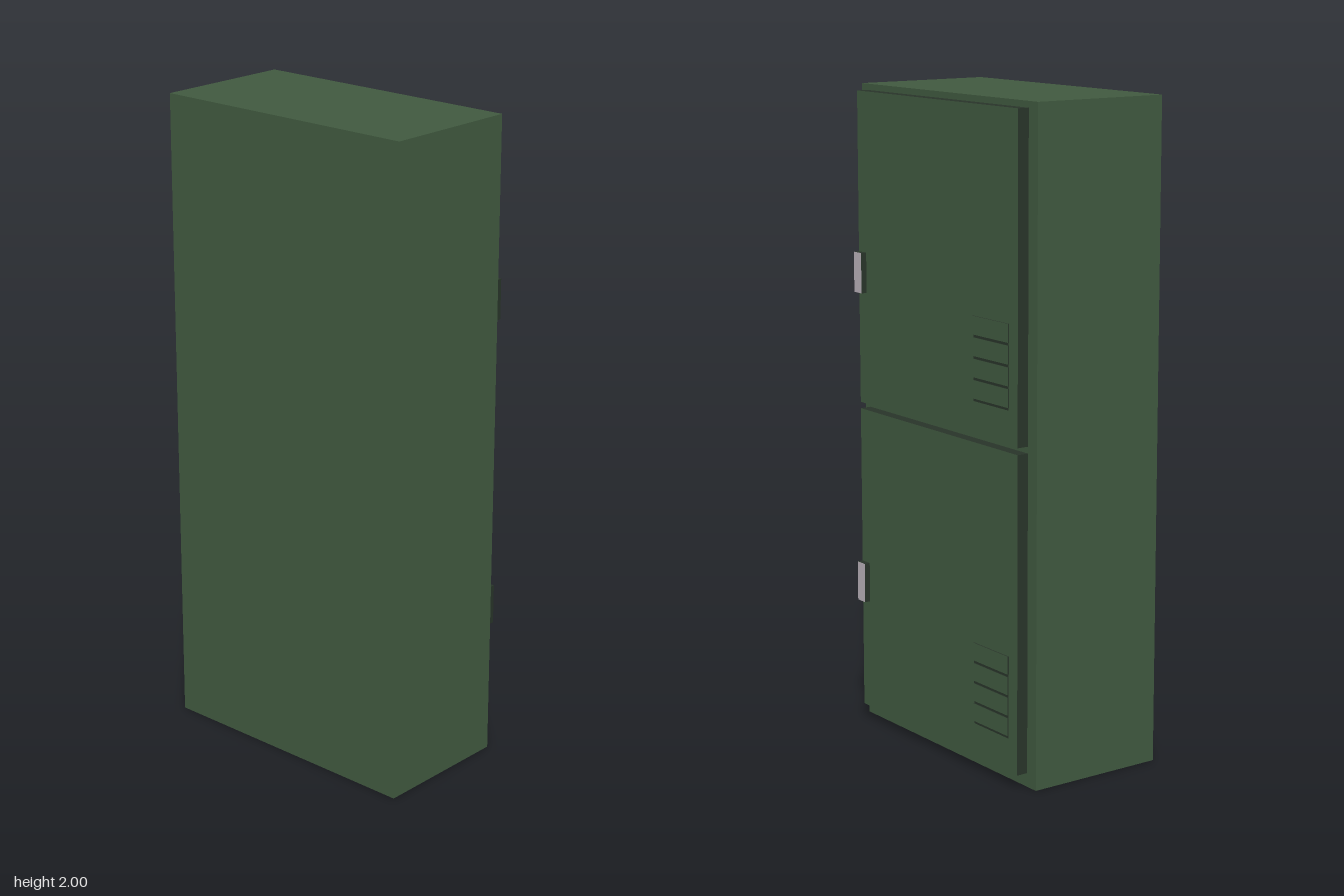
import * as THREE from 'three';

const green = new THREE.MeshStandardMaterial({ color: 0x40593f });
const darkGreen = new THREE.MeshStandardMaterial({ color: 0x283429 });
const grey = new THREE.MeshStandardMaterial({ color: 0xb8b0b8 });

// box given by its min and max corners
function box(name, [x0, y0, z0], [x1, y1, z1], material) {
  const mesh = new THREE.Mesh(new THREE.BoxGeometry(x1 - x0, y1 - y0, z1 - z0), material);
  mesh.position.set((x0 + x1) / 2, (y0 + y1) / 2, (z0 + z1) / 2);
  mesh.name = name;
  return mesh;
}

// outward (+x) face in one colour, all edges dark
const faced = (face) => [face, darkGreen, darkGreen, darkGreen, darkGreen, darkGreen];

function makeDoor(name) {
  const door = new THREE.Group();
  door.name = name;
  const front = 0.2325;
  door.add(box('doorPanel', [0.196, 0, -0.4085], [front, 0.958, 0.406], faced(green)));

  // handle plate and the latch bridging the gap to the cabinet
  door.add(box('handle', [front, 0.346, 0.366], [0.251, 0.47, 0.406], faced(grey)));
  door.add(box('latch', [0.188, 0.346, 0.318], [0.198, 0.47, 0.402], grey));

  // four raised louvres, each with a dark slot under it
  for (let i = 0; i < 4; i++) {
    const y = 0.102 + i * 0.0625;
    door.add(box('louvre', [front - 0.002, y + 0.008, -0.367], [0.2365, y + 0.0625, -0.196], faced(green)));
    door.add(box('louvreSlot', [front - 0.002, y, -0.365], [front + 0.001, y + 0.008, -0.196], darkGreen));
  }
  return door;
}

export function createModel() {
  const locker = new THREE.Group();
  locker.name = 'locker';
  locker.add(box('cabinet', [-0.253, 0, -0.443], [0.19, 2, 0.443], green));

  const lower = makeDoor('lowerDoor');
  lower.position.y = 0.046;
  const upper = makeDoor('upperDoor');
  upper.position.y = 1.024;
  locker.add(lower, upper);
  return locker;
}
